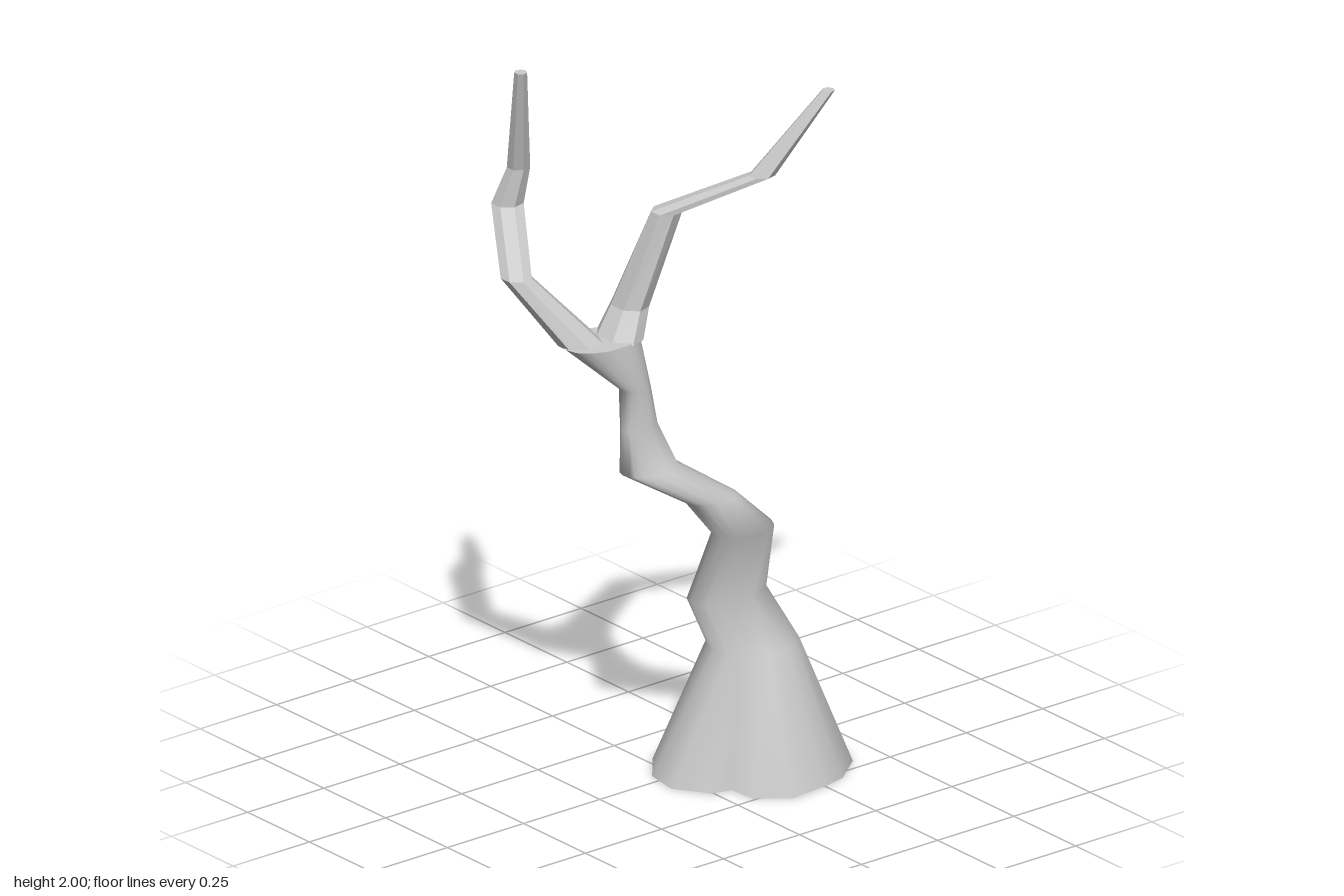
import * as THREE from 'three';

// Closed skin through a stack of rings (each ring: array of [x, y, z]), with flat end caps
function loft(rings, flat) {
  const n = rings[0].length;
  const pos = rings.flat(2);
  const index = [];
  for (let i = 0; i < rings.length - 1; i++) {
    for (let j = 0; j < n; j++) {
      const k = (j + 1) % n;
      const a = i * n + j, b = i * n + k, c = a + n, d = b + n;
      index.push(a, c, b, b, c, d);
    }
  }
  // caps use their own vertices so the rim stays sharp
  [rings[0], rings[rings.length - 1]].forEach((ring, top) => {
    const start = pos.length / 3;
    const mid = [0, 1, 2].map((q) => ring.reduce((s, p) => s + p[q], 0) / n);
    pos.push(...ring.flat(), ...mid);
    for (let j = 0; j < n; j++) {
      const a = start + j, b = start + ((j + 1) % n), m = start + n;
      if (top) index.push(m, b, a);
      else index.push(m, a, b);
    }
  });
  let geo = new THREE.BufferGeometry();
  geo.setAttribute('position', new THREE.Float32BufferAttribute(pos, 3));
  geo.setIndex(index);
  if (flat) geo = geo.toNonIndexed();
  geo.computeVertexNormals();
  return geo;
}

function addPart(group, name, rings, flat) {
  const material = new THREE.MeshStandardMaterial({ color: 0xcccccc, flatShading: flat });
  const mesh = new THREE.Mesh(loft(rings, flat), material);
  mesh.name = name;
  group.add(mesh);
}

// Horizontal elliptical ring sampled at the given angles
const ellipse = (angles, x, y, z, rx, rz) =>
  angles.map((t) => [x + rx * Math.cos(t), y, z + rz * Math.sin(t)]);

export function createModel() {
  const group = new THREE.Group();
  group.name = 'bareTree';

  // Irregular foot outline (x, z) with a small groove between two root lobes
  const foot = [
    [0.45, 0.09], [0.41, 0.21], [0.32, 0.28], [0.25, 0.295], [0.135, 0.305],
    [0.055, 0.24], [0.05, 0.165], [-0.005, 0.15], [-0.065, 0.06], [-0.05, -0.035],
    [0.025, -0.125], [0.13, -0.167], [0.255, -0.167], [0.355, -0.11], [0.41, -0.035],
  ];
  const footAngles = foot.map(([x, z]) => Math.atan2(z - 0.07, x - 0.2));

  // Trunk sections: y, xMin, xMax, zMin, zMax
  const sections = [
    [0.35, 0.07, 0.315, -0.04, 0.185],
    [0.483, 0.024, 0.257, -0.043, 0.105],
    [0.684, 0.045, 0.225, 0.04, 0.167],
    [0.81, -0.065, 0.087, 0.07, 0.183],
    [0.9, -0.21, -0.04, -0.013, 0.103],
    [1.02, -0.205, -0.095, 0, 0.07],
    [1.14, -0.22, -0.133, 0.013, 0.087],
    [1.27, -0.357, -0.132, -0.08, 0.075],
  ];
  const trunk = [
    foot.map(([x, z]) => [x, 0, z]),
    ...sections.map(([y, x0, x1, z0, z1]) =>
      ellipse(footAngles, (x0 + x1) / 2, y, (z0 + z1) / 2, (x1 - x0) / 2, (z1 - z0) / 2)),
  ];
  addPart(group, 'trunk', trunk, false);

  // Faceted branches: x, y, z, rx, rz
  const branchAngles = Array.from({ length: 7 }, (_, i) => (i / 7) * Math.PI * 2);
  const branches = {
    rightBranch: [
      [-0.293, 1.265, -0.02, 0.062, 0.058],
      [-0.415, 1.445, -0.135, 0.04, 0.042],
      [-0.33, 1.585, -0.275, 0.043, 0.042],
      [-0.318, 1.69, -0.245, 0.031, 0.03],
      [-0.388, 2.0, -0.15, 0.017, 0.017],
    ],
    leftBranch: [
      [-0.188, 1.265, 0, 0.054, 0.075],
      [-0.145, 1.34, -0.01, 0.045, 0.058],
      [-0.08, 1.605, 0.06, 0.041, 0.041],
      [0.1, 1.71, 0.225, 0.034, 0.034],
      [0.253, 1.93, 0.305, 0.016, 0.017],
    ],
  };
  for (const [name, path] of Object.entries(branches)) {
    addPart(group, name, path.map((p) => ellipse(branchAngles, ...p)), true);
  }
  return group;
}
